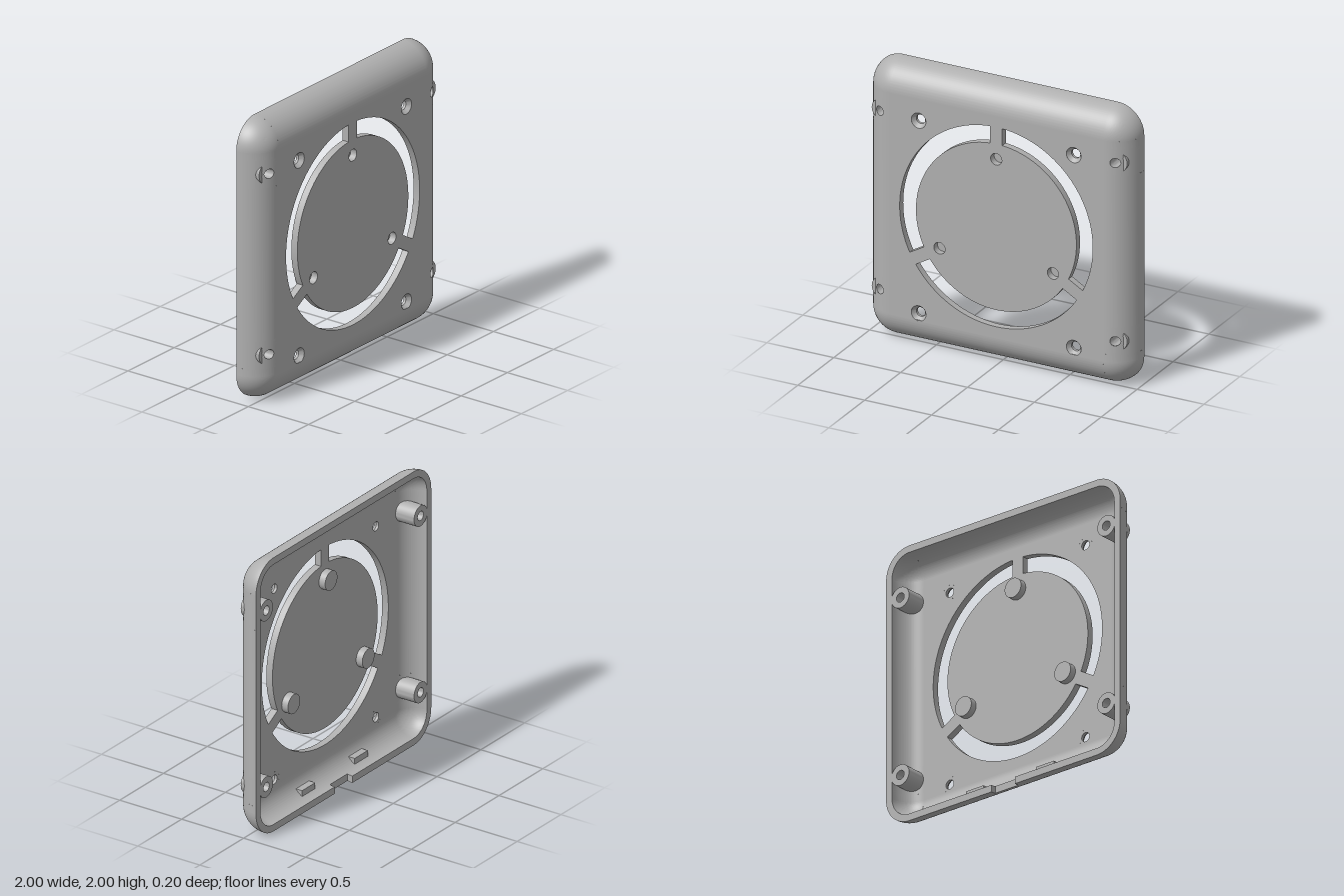
import * as THREE from 'three';
import { toCreasedNormals } from 'three/addons/utils/BufferGeometryUtils.js';
import { ParametricGeometry } from 'three/addons/geometries/ParametricGeometry.js';

const R = 0.2, RI = 0.15;          // outer and inner edge radius
const EDGE = 0.8, BACK = -0.1;     // start of rounded edge, rear rim plane
const HOLE = { x: 0.08, t: 0.645, r: 0.033 }; // screw hole in the side edges

export function createModel() {
  const model = new THREE.Group();
  const body = new THREE.Group();
  body.name = 'cover';
  body.position.y = 1;
  model.add(body);
  const grey = new THREE.MeshStandardMaterial({ color: 0xb0b0b0, side: THREE.DoubleSide });
  grey.name = 'grey plastic';

  const add = (parent, name, geo, x = 0, y = 0, z = 0) => {
    const m = new THREE.Mesh(geo, grey);
    m.name = name;
    m.position.set(x, y, z);
    parent.add(m);
    return m;
  };
  const extrude = (shape, depth, curveSegments = 24) =>
    toCreasedNormals(new THREE.ExtrudeGeometry(shape, { depth, bevelEnabled: false, curveSegments }), 0.5);
  const lathe = (pts, segs, len = Math.PI * 2) =>
    toCreasedNormals(new THREE.LatheGeometry(pts.map(p => new THREE.Vector2(...p)), segs, 0, len), 0.5).rotateX(Math.PI / 2);
  const circle = (x, y, r) => new THREE.Path().absarc(x, y, r, 0, Math.PI * 2, false);
  const surface = (fn, nu, nv) => new ParametricGeometry((u, v, p) => p.set(...fn(u, v)), nu, nv);

  // Front plate with three arc slots, screw holes and pin recesses
  const plate = new THREE.Shape([[-EDGE, -EDGE], [EDGE, -EDGE], [EDGE, EDGE], [-EDGE, EDGE]].map(p => new THREE.Vector2(...p)));
  const spokes = [0, 1, 2].map(k => Math.PI / 2 + k * Math.PI * 2 / 3);
  const ro = 0.722, ri = 0.6, half = 0.045;
  for (const a of spokes) {
    const b = a + Math.PI * 2 / 3, o = Math.asin(half / ro), i = Math.asin(half / ri);
    const slot = new THREE.Path();
    slot.absarc(0, 0, ro, a + o, b - o, false);
    slot.absarc(0, 0, ri, b - i, a + i, true);
    slot.closePath();
    plate.holes.push(slot);
  }
  const pins = spokes.map(a => [0.49 * Math.cos(a), 0.49 * Math.sin(a)]);
  const sinks = [[-0.58, 0.645], [0.58, 0.645], [-0.58, -0.75], [0.58, -0.75]];
  pins.forEach(([x, y]) => plate.holes.push(circle(x, y, 0.042)));
  sinks.forEach(([x, y]) => plate.holes.push(circle(x, y, 0.055)));
  add(body, 'frontPlate', extrude(plate, 0.05, 40), 0, 0, 0.05);

  // Rear pins closing the recesses, and countersunk seats
  const pinGeo = new THREE.CylinderGeometry(0.07, 0.07, 0.05, 32).rotateX(Math.PI / 2);
  pins.forEach(([x, y]) => add(body, 'rearPin', pinGeo, x, y, 0.025));
  const sinkGeo = lathe([[0.055, 0.1], [0.033, 0.07], [0.033, 0.05], [0.055, 0.05]], 32);
  sinks.forEach(([x, y]) => add(body, 'countersink', sinkGeo, x, y));

  // Quarter-round wall section, starting a given height above the rim
  const section = (lift = 0) => {
    const s = new THREE.Shape();
    s.absarc(0, 0, R, Math.asin(lift / R), Math.PI / 2, false);
    s.absarc(0, 0, RI, Math.PI / 2, Math.asin(lift / RI), true);
    s.closePath();
    return s;
  };
  const wall = (side, from, to, lift) =>
    add(side, 'edgeWall', extrude(section(lift), to - from).rotateX(Math.PI / 2), EDGE, to, BACK);

  // Rounded corner revolved from the same section
  const profile = [[RI, 0]];
  const N = 24;
  for (let i = 0; i <= N; i++) profile.push([R * Math.cos(i / N * Math.PI / 2), R * Math.sin(i / N * Math.PI / 2)]);
  for (let i = N; i >= 0; i--) profile.push([RI * Math.cos(i / N * Math.PI / 2), RI * Math.sin(i / N * Math.PI / 2)]);
  const cornerGeo = lathe(profile, 24, Math.PI / 2);

  // Curved wall piece pierced by a round hole
  const pierced = (r, tc, flip) => surface((u, v) => {
    const s = flip ? 1 - u : u, th = v * Math.PI * 2;
    const c = Math.cos(th), n = Math.sin(th), m = Math.max(Math.abs(c), Math.abs(n));
    const a0 = Math.acos((HOLE.x + HOLE.r * c) / r), a1 = Math.PI / 4 * (1 - c / m);
    const a = a0 + (a1 - a0) * s;
    const t = tc + HOLE.r * n * (1 - s) + 0.1 * n / m * s;
    return [EDGE + r * Math.cos(a), t, BACK + r * Math.sin(a)];
  }, 10, 64);

  // Screw boss, whose shoulder pokes through the curved edge
  const ring = new THREE.Shape().absarc(0, 0, 0.075, 0, Math.PI * 2, false);
  ring.holes.push(circle(0, 0, HOLE.r));
  const bossGeo = extrude(ring, 0.154);

  const screwMount = (side, tc) => {
    add(side, 'edgeOuter', pierced(R, tc, false));
    add(side, 'edgeInner', pierced(RI, tc, true));
    add(side, 'rim', new THREE.PlaneGeometry(R - RI, 0.2).rotateY(Math.PI), EDGE + (R + RI) / 2, tc, BACK);
    add(side, 'screwBoss', bossGeo, EDGE + HOLE.x, tc, BACK + 0.001);
    add(side, 'screwBore', surface((u, v) => {
      const x = HOLE.x + HOLE.r * Math.cos(v * Math.PI * 2);
      const top = BACK + Math.sqrt(R * R - x * x);
      return [EDGE + x, tc + HOLE.r * Math.sin(v * Math.PI * 2), 0.05 + (top - 0.05) * u];
    }, 1, 32));
  };

  // Four sides: right, top, left, bottom
  ['leftSide', 'topSide', 'rightSide', 'bottomSide'].forEach((name, k) => {
    const side = new THREE.Group();
    side.name = name;
    side.rotation.z = k * Math.PI / 2;
    body.add(side);
    add(side, 'corner', cornerGeo, EDGE, -EDGE, BACK);
    if (k % 2 === 0) {
      const t = HOLE.t;
      wall(side, -EDGE, -t - 0.1);
      wall(side, -t + 0.1, t - 0.1);
      wall(side, t + 0.1, EDGE);
      screwMount(side, -t);
      screwMount(side, t);
    } else if (k === 1) {
      wall(side, -EDGE, EDGE);
    } else {
      // Bottom edge with a shallow rim notch
      wall(side, -EDGE, -0.1);
      wall(side, -0.1, 0.1, 0.04);
      wall(side, 0.1, EDGE);
    }
  });

  // Small ledges inside the bottom edge
  for (const s of [-1, 1]) add(body, 'bottomLedge', new THREE.BoxGeometry(0.15, 0.06, 0.06), s * 0.3, -0.92, 0);

  return model;
}
